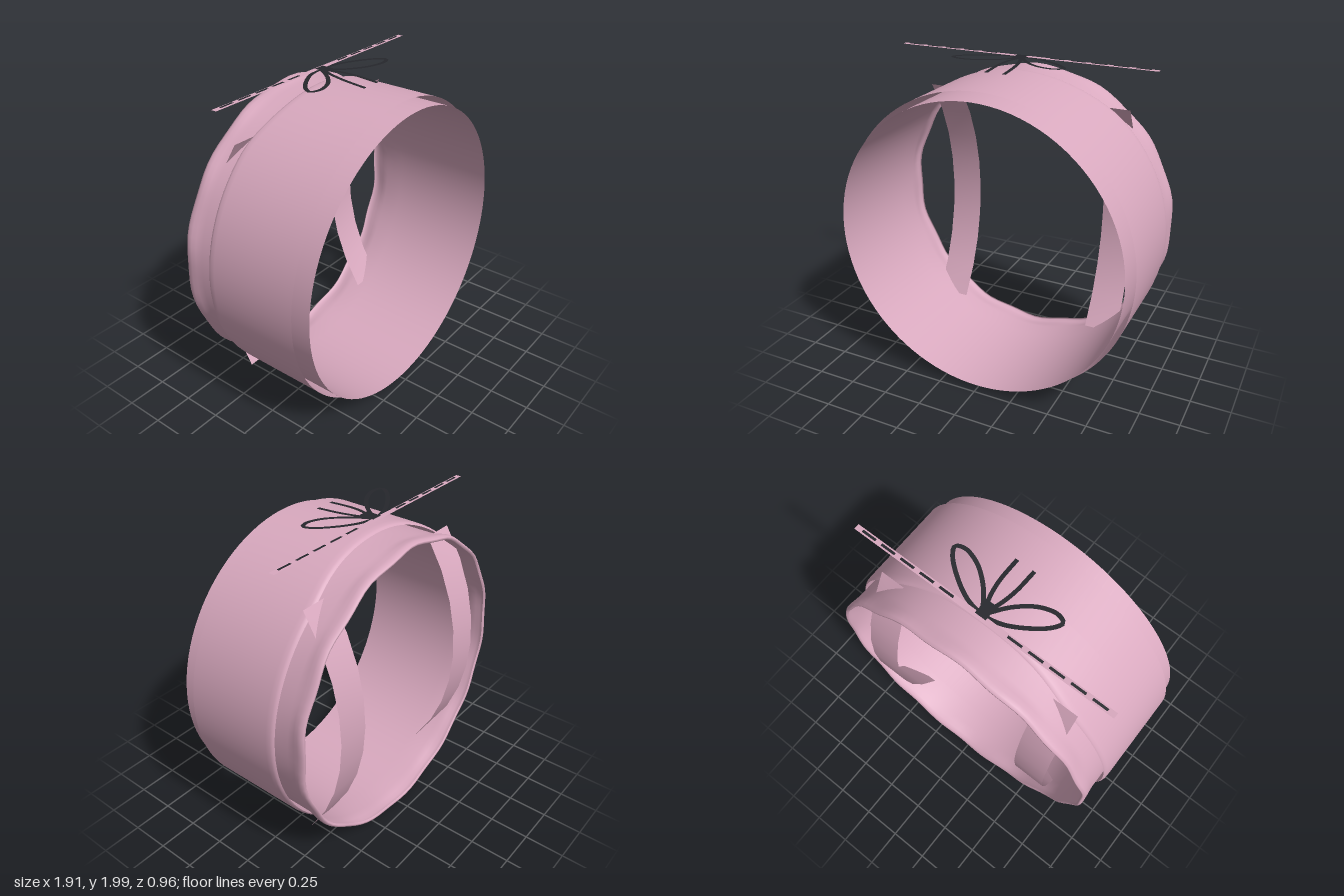
import * as THREE from 'three';
import { mergeVertices } from 'three/addons/utils/BufferGeometryUtils.js';

const pink = new THREE.MeshStandardMaterial({ color: 0xd9a9bf, side: THREE.DoubleSide });
pink.name = 'dusty pink';
const dark = new THREE.MeshStandardMaterial({ color: 0x26272c, side: THREE.DoubleSide });
dark.name = 'charcoal cord';

const CENTRE_Y = 0.962;

function add(parent, name, geometry, material) {
  const mesh = new THREE.Mesh(geometry, material);
  mesh.name = name;
  parent.add(mesh);
  return mesh;
}

// Open shell around the z axis from [radius, z] pairs; rule(radius, z, angle from top, angle) moves points
function shell(profile, rule) {
  const points = profile.map(([r, z]) => new THREE.Vector2(r, z));
  let g = new THREE.LatheGeometry(points, 96);
  g.rotateX(Math.PI / 2);
  const p = g.attributes.position;
  for (let i = 0; i < p.count; i++) {
    const x = p.getX(i), y = p.getY(i);
    const a = Math.atan2(x, y);
    const [r, z] = rule(Math.hypot(x, y), p.getZ(i), a);
    p.setXYZ(i, r * Math.sin(a), CENTRE_Y + r * Math.cos(a), z);
  }
  g.deleteAttribute('uv');
  g.deleteAttribute('normal');
  g = mergeVertices(g, 1e-4);
  g.computeVertexNormals();
  return g;
}

// Flat strip lying roughly level, following a curve
function ribbon(points, width, closed = false, steps = 32) {
  const curve = new THREE.CatmullRomCurve3(points.map((q) => new THREE.Vector3(...q)), closed);
  const position = [], index = [];
  for (let i = 0; i <= steps; i++) {
    const c = curve.getPointAt(i / steps);
    const t = curve.getTangentAt(i / steps);
    const side = new THREE.Vector3(-t.z, 0, t.x).normalize().multiplyScalar(width / 2);
    position.push(c.x + side.x, c.y, c.z + side.z, c.x - side.x, c.y, c.z - side.z);
    if (i < steps) {
      const k = i * 2;
      index.push(k, k + 2, k + 1, k + 1, k + 2, k + 3);
    }
  }
  const g = new THREE.BufferGeometry();
  g.setAttribute('position', new THREE.Float32BufferAttribute(position, 3));
  g.setIndex(index);
  g.computeVertexNormals();
  return g;
}

export function createModel() {
  const model = new THREE.Group();
  model.name = 'drawstringCuff';

  // Inner sleeve with a softly gathered rolled hem at the back
  const sleeve = [[0.908, -0.43], [0.916, -0.438], [0.926, -0.437], [0.934, -0.42],
    [0.934, -0.395], [0.928, -0.365], [0.921, -0.32], [0.92, -0.2], [0.92, 0.475]];
  add(model, 'innerSleeve', shell(sleeve, (r, z, a) => {
    const hem = THREE.MathUtils.smoothstep(-z, 0.3, 0.42);
    return [r + 0.006 * hem * Math.cos(14 * a), z + 0.005 * hem * Math.cos(14 * a + 1)];
  }), pink);

  // Outer band, its back edge cut forward at the top under the bow
  const band = [[0.938, -0.243], [0.946, -0.235], [0.951, -0.22], [0.953, -0.19], [0.953, 0.1], [0.953, 0.38]];
  add(model, 'outerBand', shell(band, (r, z, a) => {
    const cut = THREE.MathUtils.smoothstep(Math.cos(a), 0.75, 1.0);
    return [r, z < -0.1 ? z + 0.05 * cut : z];
  }), pink);

  // Two straps bowed out to the back
  const bowRadius = 1.317;
  for (const s of [1, -1]) {
    const g = new THREE.PlaneGeometry(0.213, 1.53, 1, 8);
    const p = g.attributes.position;
    for (let i = 0; i < p.count; i++) {
      const y = p.getY(i);
      p.setZ(i, -0.485 + bowRadius - Math.sqrt(bowRadius ** 2 - y * y));
    }
    g.computeVertexNormals();
    add(model, s > 0 ? 'leftStrap' : 'rightStrap', g, pink).position.set(s * 0.563, 0.965, 0);
  }

  // Flat casing strip with the cord threaded through it
  const casing = new THREE.PlaneGeometry(1.67, 0.034);
  casing.rotateX(-Math.PI / 2);
  add(model, 'cordCasing', casing, pink).position.set(0, 1.99, -0.197);
  for (const s of [1, -1]) {
    for (let i = 0; i < 5; i++) {
      for (const y of [1.993, 1.987]) {
        const stitch = new THREE.PlaneGeometry(0.092, 0.015);
        stitch.rotateX(-Math.PI / 2);
        add(model, 'cordStitch', stitch, dark).position.set(s * (0.22 + i * 0.131), y, -0.197);
      }
    }
  }

  // Bow: two loops, two tails and a knot
  const bow = new THREE.Group();
  bow.name = 'bow';
  model.add(bow);
  for (const s of [1, -1]) {
    const loop = [[0.01, 1.987, -0.175], [0.1, 1.99, -0.165], [0.22, 1.994, -0.105], [0.325, 1.998, -0.02],
      [0.35, 2.0, 0.03], [0.3, 1.999, 0.052], [0.2, 1.995, 0.025], [0.1, 1.99, -0.05], [0.035, 1.987, -0.13]];
    const tail = [[0.008, 1.986, -0.15], [0.035, 1.985, -0.07], [0.052, 1.98, 0.03], [0.056, 1.97, 0.18]];
    const flip = (q) => [q[0] * s, q[1], q[2]];
    add(bow, 'bowLoop', ribbon(loop.map(flip), 0.025, true, 48), dark);
    add(bow, 'bowTail', ribbon(tail.map(flip), 0.024, false, 16), dark);
  }
  const knot = new THREE.PlaneGeometry(0.07, 0.095);
  knot.rotateX(-Math.PI / 2);
  add(bow, 'bowKnot', knot, dark).position.set(0, 1.996, -0.15);

  return model;
}
